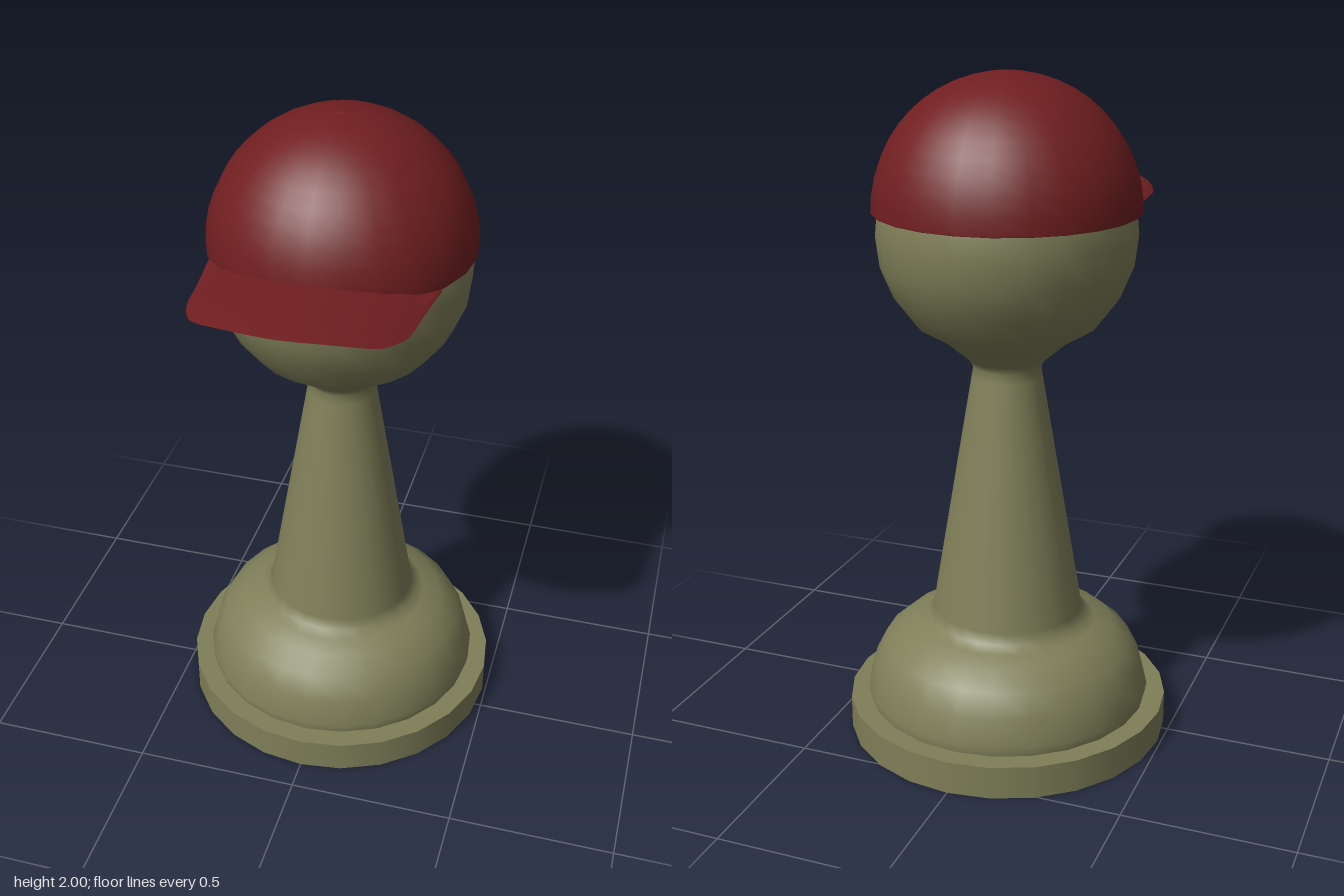
import * as THREE from 'three';

const SIDES = 24;
const AXIS_Z = -0.08; // the turned parts share this axis, the brim reaches forward from it
const olive = new THREE.MeshStandardMaterial({ color: 0x7f7f59 });
const red = new THREE.MeshStandardMaterial({ color: 0x701e20 });
const redThin = new THREE.MeshStandardMaterial({ color: 0x701e20, side: THREE.DoubleSide });

function add(group, name, geometry, material, y = 0, z = AXIS_Z) {
  const mesh = new THREE.Mesh(geometry, material);
  mesh.name = name;
  mesh.position.set(0, y, z);
  group.add(mesh);
  return mesh;
}

function lathe(points) {
  return new THREE.LatheGeometry(points.map(([r, y]) => new THREE.Vector2(r, y)), SIDES);
}

// Profile points of a circular arc, from one elevation to another (degrees)
function arc(radius, centerY, from, to, steps) {
  return Array.from({ length: steps + 1 }, (_, i) => {
    const a = THREE.MathUtils.degToRad(from + ((to - from) * i) / steps);
    return [Math.max(0, radius * Math.cos(a)), centerY + radius * Math.sin(a)];
  });
}

// Curved brim: top and bottom sheets between the cap circle and a rounded outline
function brimGeometry() {
  const half = [[0.33, 0.12], [0.312, 0.27], [0.302, 0.37], [0.28, 0.43], [0.247, 0.48], [0.13, 0.54]];
  const outline = [...half, [0, 0.568], ...half.slice().reverse().map(([x, z]) => [-x, z])];
  const curve = new THREE.CatmullRomCurve3(outline.map(([x, z]) => new THREE.Vector3(x, 0, z)));
  const across = 28, out = 6, row = out + 1, sheet = (across + 1) * row;
  const positions = [], index = [];
  for (const side of [1, -1]) {
    for (let i = 0; i <= across; i++) {
      const outer = curve.getPoint(i / across);
      const a = THREE.MathUtils.degToRad(59 * (1 - (2 * i) / across));
      const inner = new THREE.Vector3(0.374 * Math.sin(a), 0, AXIS_Z + 0.374 * Math.cos(a));
      for (let j = 0; j <= out; j++) {
        const v = j / out;
        const p = inner.clone().lerp(outer, v);
        const arch = 0.056 * (Math.min(Math.abs(p.x), 0.3) / 0.3) ** 2;
        const thickness = 0.011 * Math.sqrt(1 - v);
        positions.push(p.x, 1.66 - arch + side * thickness, p.z);
      }
    }
  }
  for (let i = 0; i < across; i++) {
    for (let j = 0; j < out; j++) {
      const a = i * row + j, b = a + 1, c = a + row, d = c + 1;
      index.push(a, c, b, b, c, d);
      index.push(a + sheet, b + sheet, c + sheet, b + sheet, d + sheet, c + sheet);
    }
  }
  const geometry = new THREE.BufferGeometry();
  geometry.setAttribute('position', new THREE.Float32BufferAttribute(positions, 3));
  // Face the first sheet upward whichever way the outline runs
  for (let k = 0; k < index.length; k += 3) [index[k + 1], index[k + 2]] = [index[k + 2], index[k + 1]];
  geometry.setIndex(index);
  geometry.computeVertexNormals();
  return geometry;
}

export function createModel() {
  const model = new THREE.Group();
  model.name = 'cappedPawn';

  // Pawn: flat foot disc, then dome, shaft and head turned as one piece
  add(model, 'foot', new THREE.CylinderGeometry(0.49, 0.49, 0.1, SIDES), olive, 0.05);
  add(model, 'body', lathe([
    [0.428, 0.095], [0.434, 0.13], [0.413, 0.21], [0.38, 0.275], [0.322, 0.325], [0.27, 0.342],
    [0.243, 0.36], [0.228, 0.39], [0.105, 1.12], [0.1, 1.15], [0.112, 1.172],
    [0.185, 1.235], [0.265, 1.282], [0.328, 1.365], [0.365, 1.455],
    ...arc(0.376, 1.545, 0, 90, 8),
  ]), olive);

  // Cap: dome with a turned-in lower rim, top button and brim
  const cap = new THREE.Group();
  cap.name = 'cap';
  add(cap, 'capDome', lathe([[0.355, 1.612], [0.384, 1.609], ...arc(0.387, 1.611, 0, 90, 12)]), red);
  const button = add(cap, 'capButton', new THREE.SphereGeometry(0.025, 12, 8), red, 1.988);
  button.scale.y = 0.48;
  add(cap, 'capBrim', brimGeometry(), redThin, 0, 0);
  model.add(cap);
  return model;
}
